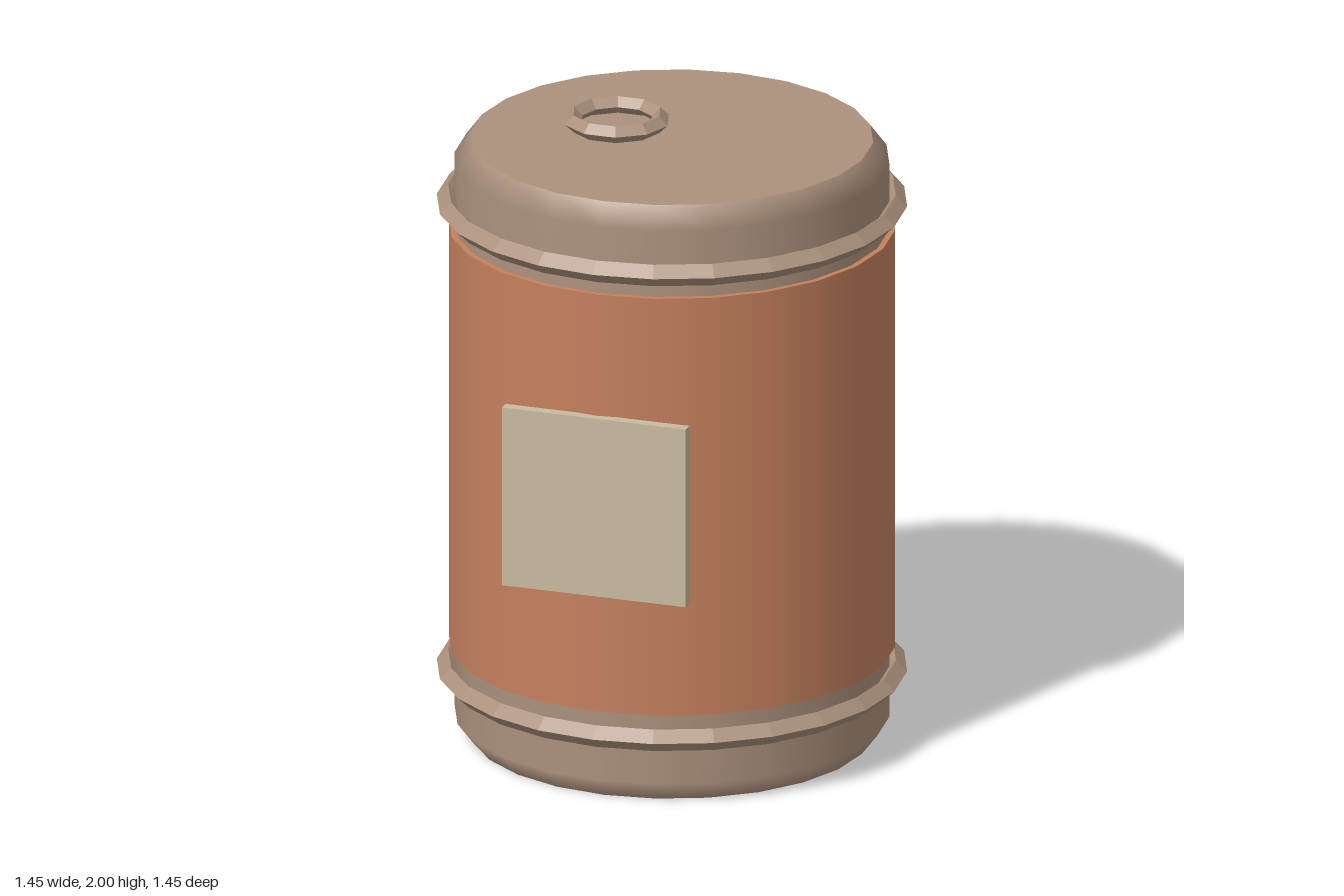
import * as THREE from 'three';

const SIDES = 24;

export function createModel() {
  const model = new THREE.Group();
  model.name = 'barrel';

  const metal = new THREE.MeshStandardMaterial({ color: 0xac917d });
  metal.name = 'dull brown metal';
  const wrap = new THREE.MeshStandardMaterial({ color: 0xc4805d });
  wrap.name = 'rust orange';
  const plate = new THREE.MeshStandardMaterial({ color: 0xcabaa2 });
  plate.name = 'pale beige';

  const add = (name, geometry, material, x = 0, y = 0, z = 0) => {
    const mesh = new THREE.Mesh(geometry, material);
    mesh.name = name;
    mesh.position.set(x, y, z);
    model.add(mesh);
    return mesh;
  };

  // Diamond-section ring lying flat, with crisp edges between its four bands
  const ring = (radius, tube, sides) => {
    const geometry = new THREE.TorusGeometry(radius, tube, 4, sides).rotateX(-Math.PI / 2).toNonIndexed();
    geometry.computeVertexNormals();
    return geometry;
  };

  // Drum wall with bevelled ends
  const profile = [[0.62, 0], [0.67, 0.065], [0.67, 1.87], [0.62, 1.937]]
    .map(([r, y]) => new THREE.Vector2(r, y));
  add('drumWall', new THREE.LatheGeometry(profile, SIDES), metal);

  // Flat ends
  add('lid', new THREE.CircleGeometry(0.62, SIDES).rotateX(-Math.PI / 2), metal, 0, 1.937);
  add('base', new THREE.CircleGeometry(0.62, SIDES).rotateX(Math.PI / 2), metal);

  // Coloured sleeve around the middle
  add('sleeve', new THREE.CylinderGeometry(0.688, 0.688, 1.36, SIDES), wrap, 0, 0.975);

  // Reinforcing hoops
  add('lowerHoop', ring(0.69, 0.035, SIDES), metal, 0, 0.215);
  add('upperHoop', ring(0.69, 0.035, SIDES), metal, 0, 1.732);

  // Filler ring above the lid
  add('fillerRing', ring(0.139, 0.027, 10), metal, -0.18, 1.973);

  // Blank plate on the front
  add('frontPlate', new THREE.BoxGeometry(0.6, 0.58, 0.035), plate, 0, 0.97, 0.697);

  return model;
}
